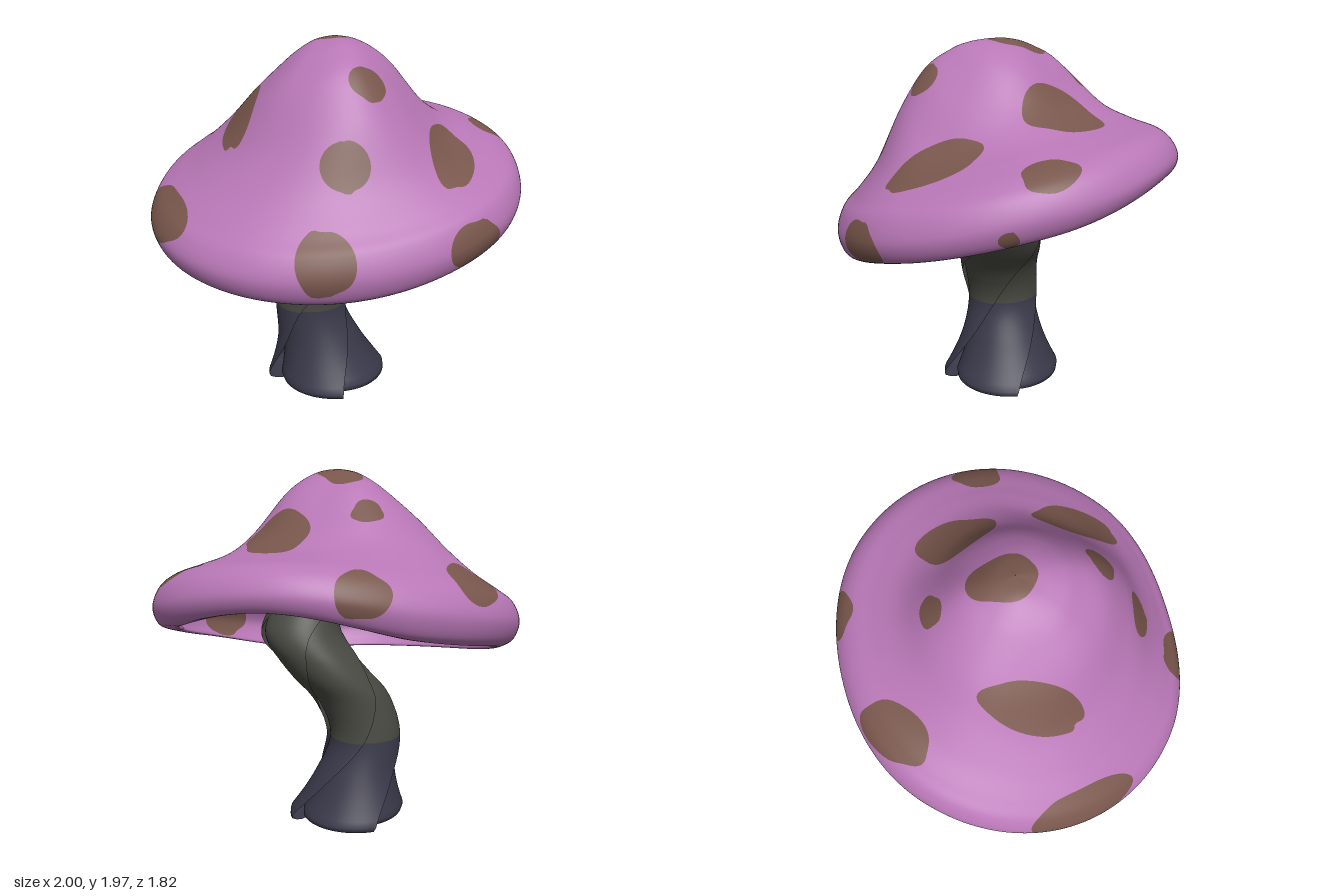
import * as THREE from 'three';

const mat = (name, color, side = THREE.FrontSide) => {
  const m = new THREE.MeshStandardMaterial({ color, side });
  m.name = name;
  return m;
};

// Smooth interpolation through evenly spaced values, open or closed
function spline(v, t, closed) {
  const n = v.length, i = Math.floor(t), f = t - i;
  const g = k => closed ? v[((k % n) + n) % n] : v[Math.min(n - 1, Math.max(0, k))];
  const a = g(i - 1), b = g(i), c = g(i + 1), d = g(i + 2);
  return b + 0.5 * f * (c - a + f * (2 * a - 5 * b + 4 * c - d + f * (3 * (b - c) + d - a)));
}

// Rows of points joined into a skin. Triangles are cut along field = 0:
// the first material lies where it is positive, the second where it is negative.
function loft(name, rows, cols, closed, point, field, materials) {
  const pos = [], value = [], lists = [[], []], cuts = new Map();
  for (let i = 0; i <= rows; i++)
    for (let j = 0; j < cols; j++) {
      pos.push(...point(i, j));
      value.push(field(i, j));
    }
  const cut = (a, b) => {
    const key = a < b ? `${a},${b}` : `${b},${a}`;
    if (!cuts.has(key)) {
      const t = value[a] / (value[a] - value[b]);
      cuts.set(key, pos.length / 3);
      for (let k = 0; k < 3; k++) pos.push(pos[a * 3 + k] * (1 - t) + pos[b * 3 + k] * t);
    }
    return cuts.get(key);
  };
  const add = (...t) => {
    const s = t.map(v => (value[v] < 0 ? 1 : 0));
    if (s[0] === s[1] && s[1] === s[2]) return lists[s[0]].push(...t);
    // The corner that differs from the other two comes first
    const k = s[1] === s[2] ? 0 : s[0] === s[2] ? 1 : 2;
    const a = t[k], b = t[(k + 1) % 3], c = t[(k + 2) % 3], ab = cut(a, b), ac = cut(a, c);
    lists[s[k]].push(a, ab, ac);
    lists[1 - s[k]].push(ab, b, c, ab, c, ac);
  };
  for (let i = 0; i < rows; i++)
    for (let j = 0; j < (closed ? cols : cols - 1); j++) {
      const a = i * cols + j, b = i * cols + (j + 1) % cols;
      add(a, b, a + cols);
      add(b, b + cols, a + cols);
    }
  const geo = new THREE.BufferGeometry();
  geo.setAttribute('position', new THREE.Float32BufferAttribute(pos, 3));
  geo.setIndex(lists.flat());
  geo.addGroup(0, lists[0].length, 0);
  geo.addGroup(lists[0].length, lists[1].length, 1);
  geo.computeVertexNormals();
  const mesh = new THREE.Mesh(geo, materials);
  mesh.name = name;
  return mesh;
}

// Cap: eight height profiles around the axis, starting at +x and turning to +z
const RADII = [1, 0.985, 0.905, 0.96, 0.995, 0.965, 0.91, 0.945];
const STEPS = [0.001, 0.1, 0.2, 0.3, 0.45, 0.6, 0.75, 0.88, 0.96, 1, 0.97, 0.9];
const HEIGHTS = [
  [1.97, 1.95, 1.90, 1.82, 1.65, 1.55, 1.50, 1.46, 1.40, 1.30, 1.21, 1.19],
  [1.97, 1.96, 1.92, 1.84, 1.66, 1.47, 1.37, 1.30, 1.24, 1.13, 1.04, 1.01],
  [1.97, 1.965, 1.95, 1.915, 1.82, 1.62, 1.34, 1.18, 1.10, 0.99, 0.89, 0.85],
  [1.97, 1.955, 1.92, 1.86, 1.72, 1.47, 1.28, 1.15, 1.07, 0.97, 0.88, 0.84],
  [1.97, 1.95, 1.89, 1.80, 1.64, 1.45, 1.31, 1.21, 1.14, 1.05, 0.96, 0.91],
  [1.97, 1.95, 1.90, 1.83, 1.71, 1.57, 1.45, 1.37, 1.31, 1.21, 1.11, 1.07],
  [1.97, 1.955, 1.92, 1.87, 1.75, 1.62, 1.54, 1.48, 1.41, 1.32, 1.22, 1.19],
  [1.97, 1.95, 1.89, 1.81, 1.67, 1.59, 1.56, 1.54, 1.49, 1.41, 1.34, 1.33],
];
// Hollow underside: the outer profile walked back, moved by [step, height]
const SHELL = [[0, -0.07], [0, -0.07], [-0.01, -0.07], [-0.01, -0.07], [-0.02, -0.07], [-0.02, -0.065],
  [-0.03, -0.06], [-0.05, -0.045], [-0.07, -0.02], [-0.07, 0], [-0.06, 0.025], [-0.03, 0.01]];
const withShell = (values, k) => [...values, ...values.map((v, i) => v + SHELL[i][k]).reverse()];
const ALL_STEPS = withShell(STEPS, 0);
const PROFILES = HEIGHTS.map(h => withShell(h, 1));

// Spots: centre x y z, radii x y z, turn about y
const SPOTS = [
  [0.015, 1.96, -0.06, 0.115, 0.2, 0.165, -0.15],
  [0.035, 1.80, -0.40, 0.09, 0.15, 0.062, 0],
  [0.44, 1.68, -0.19, 0.15, 0.25, 0.22, 0.1],
  [0.88, 1.45, 0.03, 0.10, 0.13, 0.13, 0],
  [0.47, 1.42, 0.47, 0.12, 0.25, 0.25, -0.34],
  [0.05, 1.77, 0.43, 0.095, 0.12, 0.08, 0],
  [-0.12, 1.43, 0.63, 0.125, 0.125, 0.14, 0],
  [-0.28, 1.05, 0.85, 0.135, 0.15, 0.18, 0],
  [-0.94, 1.12, 0.1, 0.13, 0.15, 0.29, 0.2],
  [-0.5, 1.6, -0.03, 0.11, 0.25, 0.27, -0.4],
  [-0.39, 1.45, -0.72, 0.14, 0.16, 0.21, -0.75],
  [0.28, 1.42, -0.83, 0.13, 0.11, 0.14, 0],
  [0.49, 1.055, 0.84, 0.17, 0.13, 0.15, 0],
  [0.93, 1.2, 0.23, 0.06, 0.05, 0.06, 0],
];
// Negative inside a spot
function spotField([x, y, z]) {
  return Math.min(...SPOTS.map(([cx, cy, cz, rx, ry, rz, turn], k) => {
    const dx = x - cx, dz = z - cz, c = Math.cos(turn), s = Math.sin(turn);
    const u = (dx * c - dz * s) / rx, w = (dx * s + dz * c) / rz, v = (y - cy) / ry;
    const a = Math.atan2(w + v * 0.5, u);
    return Math.hypot(u, v, w) - 1 - 0.05 * Math.sin(3 * a + k * 2) - 0.03 * Math.sin(5 * a + k);
  }));
}

function makeCap(pink, brown) {
  const cols = 200, per = 10, rows = (ALL_STEPS.length - 1) * per;
  const meridians = Array.from({ length: cols }, (_, j) => ({
    angle: j * 2 * Math.PI / cols,
    radius: spline(RADII, j * 8 / cols, true),
    heights: ALL_STEPS.map((_, k) => spline(PROFILES.map(p => p[k]), j * 8 / cols, true)),
  }));
  const point = (i, j) => {
    const { angle, radius, heights } = meridians[j];
    const r = radius * Math.min(1, Math.max(0.001, spline(ALL_STEPS, i / per, false)));
    return [r * Math.cos(angle), spline(heights, i / per, false), r * Math.sin(angle)];
  };
  // The inside carries the same spots as the outside above it
  const field = (i, j) => spotField(point(Math.min(i, rows - i), j));
  return loft('cap', rows, cols, true, point, field, [pink, brown]);
}

// Stem: bent and twisted, made of overlapping sheets that flare at the foot
const PATH = new THREE.CatmullRomCurve3([
  [-0.04, 0, 0], [-0.09, 0.25, -0.02], [-0.14, 0.5, -0.03], [-0.08, 0.7, 0], [0.08, 0.9, 0.035],
  [0.19, 1.1, 0.1], [0.1, 1.32, 0.13], [-0.03, 1.52, 0.1], [-0.05, 1.75, 0.06],
].map(p => new THREE.Vector3(...p))).getPoints(400);
const pathAt = y => PATH.find(p => p.y >= y) ?? PATH[PATH.length - 1];

function makeStem(grey, navy) {
  const stem = new THREE.Group();
  stem.name = 'stem';
  const steps = 56, cols = 34, lobes = 4, smooth = THREE.MathUtils.smoothstep;
  const rings = [];
  for (let i = 0; i <= steps; i++) rings.push([1.75 - i * (1.75 - 0.045) / steps, 1]);
  // Edges curl in under the foot
  rings.push([0.02, 0.95], [0.005, 0.84], [0, 0.74], [0.02, 0.62], [0.07, 0.5], [0.12, 0.3]);
  for (let n = 0; n < lobes; n++) {
    const point = (i, j) => {
      const [y, inset] = rings[i], c = pathAt(y);
      const flare = Math.max(0, 1 - y / 0.48);
      const swell = 0.022 * smooth(y, 0.5, 0.85) - 0.05 * smooth(y, 0.95, 1.45);
      const f = 1.3 * j / (cols - 1);
      const r = (0.203 + swell + 0.13 * Math.pow(flare, 1.8)) * (1 + (0.1 + 0.16 * flare) * (0.5 - f)) * inset;
      const a = (n + f) * 2 * Math.PI / lobes - 3.2 * y * y / (y + 0.2);
      return [c.x + r * Math.cos(a), y, c.z + r * Math.sin(a)];
    };
    stem.add(loft('stemSheet', rings.length - 1, cols, false, point, i => rings[i][0] - 0.485, [grey, navy]));
  }
  return stem;
}

export function createModel() {
  const group = new THREE.Group();
  group.name = 'mushroom';
  const both = THREE.DoubleSide;
  group.add(
    makeCap(mat('capPink', 0xb877b6), mat('spotBrown', 0x78564c)),
    makeStem(mat('stemGrey', 0x494a42, both), mat('footNavy', 0x3a394a, both)),
  );
  return group;
}
